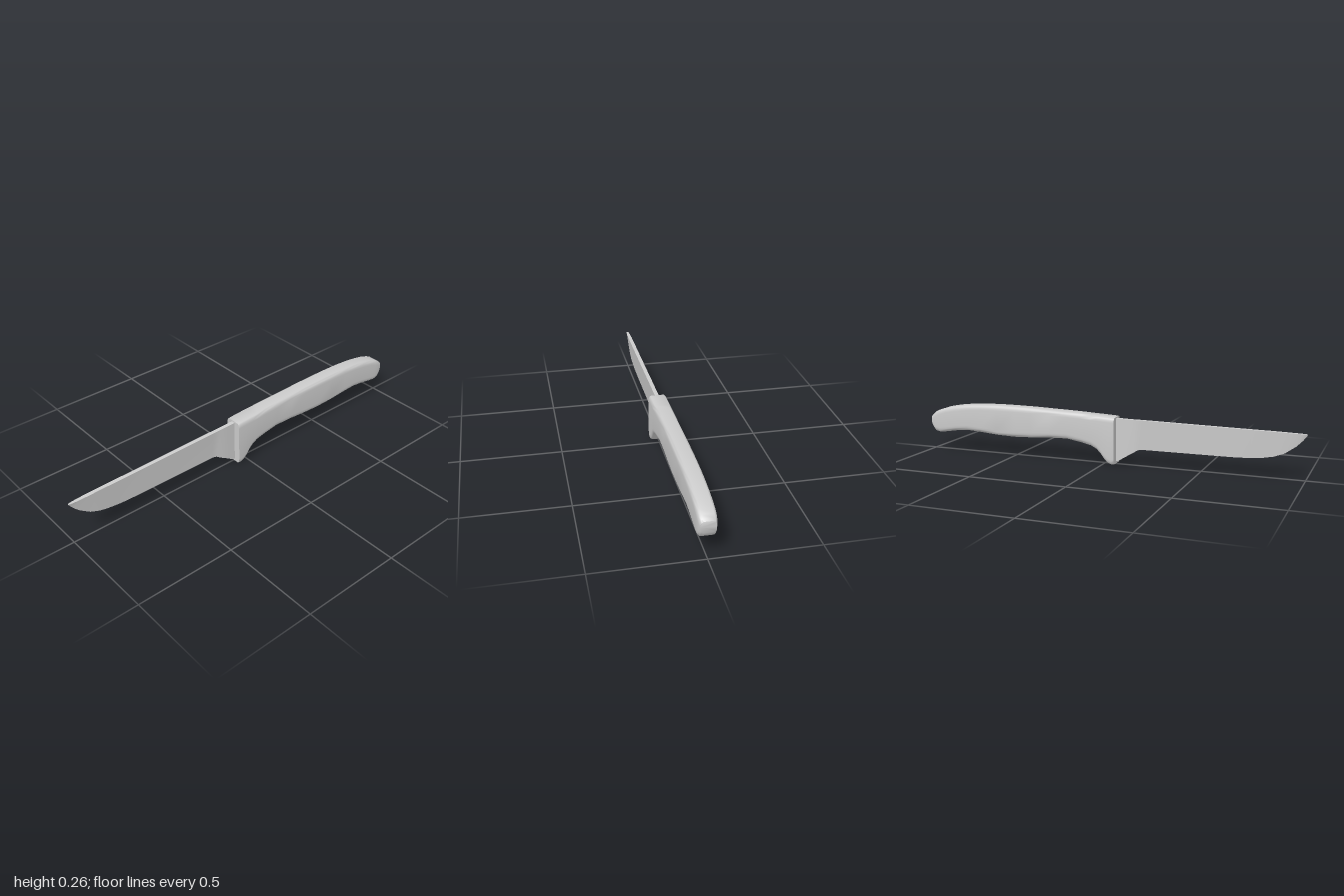
import * as THREE from 'three';
import { toCreasedNormals } from 'three/addons/utils/BufferGeometryUtils.js';

// Skin matching closed rings, ordered from +z to -z, each counter-clockwise seen from +z
function loft(rings, crease) {
  const n = rings[0].length, last = (rings.length - 1) * n, index = [];
  for (let i = 0; i < rings.length - 1; i++) {
    for (let j = 0; j < n; j++) {
      const a = i * n + j, b = i * n + (j + 1) % n;
      index.push(a, a + n, b + n, a, b + n, b);
    }
  }
  for (let j = 1; j < n - 1; j++) {
    index.push(0, j, j + 1, last, last + j + 1, last + j);
  }
  const geometry = new THREE.BufferGeometry();
  geometry.setAttribute('position', new THREE.Float32BufferAttribute(rings.flat(2), 3));
  geometry.setIndex(index);
  return toCreasedNormals(geometry, crease);
}

// Upright rounded rectangle at depth z
function handleRing([z, bottom, top, half]) {
  const rx = 0.014, ry = 0.026, steps = 4, ring = [];
  const corners = [[1, 1], [-1, 1], [-1, -1], [1, -1]];
  corners.forEach(([sx, sy], q) => {
    for (let k = 0; k <= steps; k++) {
      const angle = (q + k / steps) * Math.PI / 2;
      const cy = sy > 0 ? top - ry : bottom + ry;
      ring.push([sx * (half - rx) + rx * Math.cos(angle), cy + ry * Math.sin(angle), z]);
    }
  });
  return ring;
}

// Wedge section: spine half-width above, edge half-width below
function bladeRing([z, bottom, top, spine, edge]) {
  return [[edge, bottom, z], [spine, top, z], [-spine, top, z], [-edge, bottom, z]];
}

export function createModel() {
  const group = new THREE.Group();
  const material = new THREE.MeshStandardMaterial({ color: 0xcccccc });
  const add = (name, geometry) => {
    const mesh = new THREE.Mesh(geometry, material);
    mesh.name = name;
    group.add(mesh);
  };

  // Handle with finger guard: z, bottom, top, half-width
  const handle = [
    [0.06, 0.003, 0.24, 0.045], [0.045, 0, 0.242, 0.045], [0.025, 0.008, 0.243, 0.045],
    [0.005, 0.028, 0.244, 0.045], [-0.015, 0.055, 0.245, 0.045], [-0.035, 0.074, 0.246, 0.045],
    [-0.065, 0.09, 0.247, 0.045], [-0.12, 0.102, 0.25, 0.044], [-0.2, 0.115, 0.253, 0.043],
    [-0.3, 0.112, 0.256, 0.042], [-0.4, 0.105, 0.259, 0.042], [-0.5, 0.101, 0.26, 0.042],
    [-0.6, 0.104, 0.26, 0.042], [-0.7, 0.112, 0.257, 0.042], [-0.78, 0.117, 0.251, 0.042],
    [-0.85, 0.11, 0.242, 0.042], [-0.91, 0.1, 0.23, 0.042], [-0.95, 0.095, 0.217, 0.042],
    [-0.975, 0.1, 0.205, 0.041], [-0.99, 0.115, 0.192, 0.038], [-1, 0.132, 0.185, 0.035],
  ];
  add('handle', loft(handle.map(handleRing), 0.95));

  // Blade: z, bottom, top, spine half-width, edge half-width
  const blade = [
    [1, 0.217, 0.221, 0.004, 0.002], [0.98, 0.19, 0.2215, 0.007, 0.002],
    [0.95, 0.16, 0.222, 0.009, 0.002], [0.9, 0.124, 0.223, 0.01, 0.002],
    [0.85, 0.104, 0.224, 0.01, 0.002], [0.8, 0.094, 0.2245, 0.01, 0.001],
    [0.74, 0.087, 0.225, 0.01, 0.001], [0.65, 0.084, 0.226, 0.01, 0.001],
    [0.2, 0.082, 0.232, 0.01, 0.001], [0.175, 0.079, 0.232, 0.01, 0.004],
    [0.15, 0.064, 0.232, 0.01, 0.01], [0.1, 0.034, 0.233, 0.01, 0.01],
    [0.075, 0.018, 0.234, 0.01, 0.01], [0.05, 0.013, 0.234, 0.01, 0.01],
  ];
  add('blade', loft(blade.map(bladeRing), 0.6));

  return group;
}
